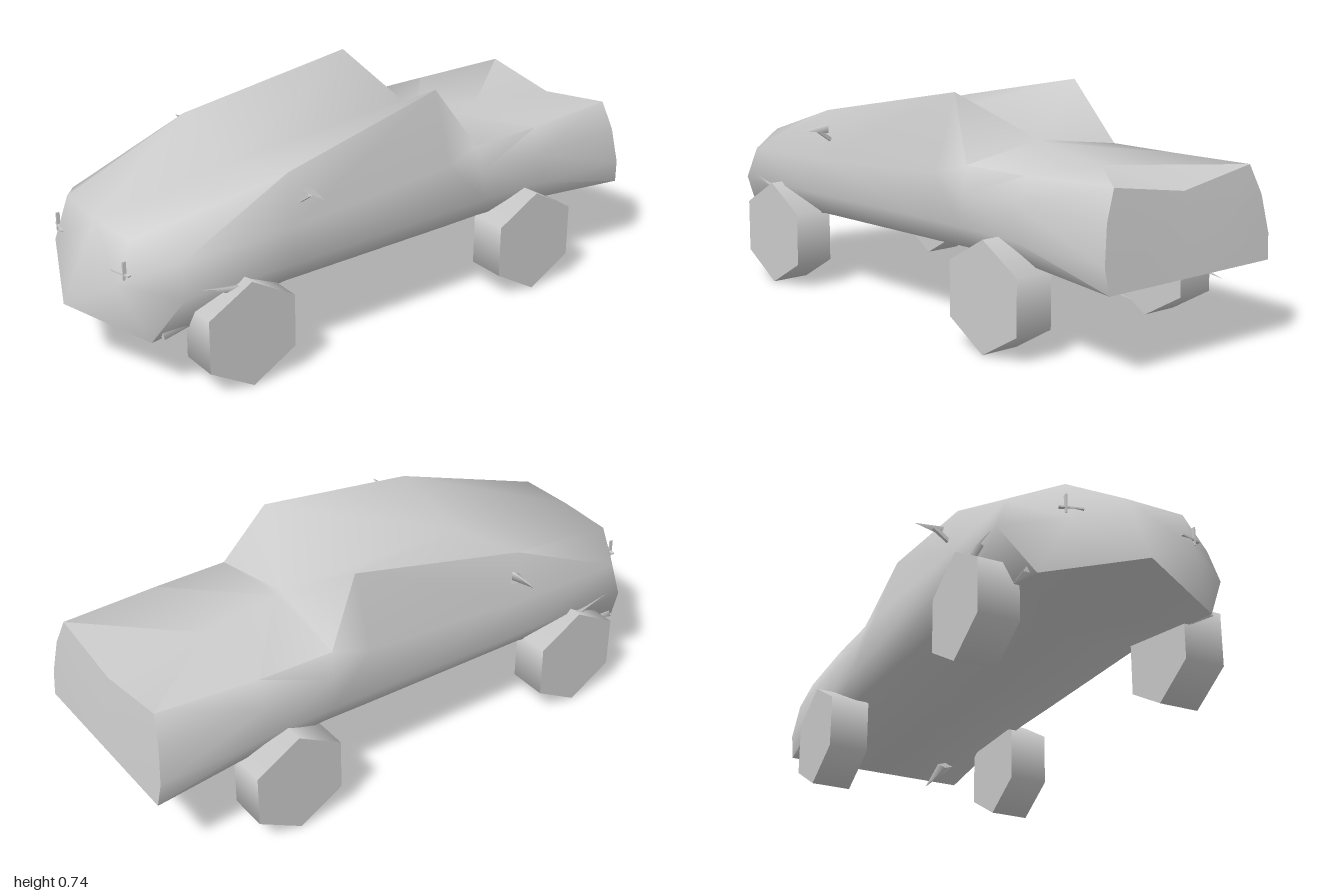
import * as THREE from 'three';
import { toCreasedNormals } from 'three/addons/utils/BufferGeometryUtils.js';

const grey = new THREE.MeshStandardMaterial({ color: 0xcccccc, side: THREE.DoubleSide });

// Half cross-sections, front to back: keel, sill, widest side, shoulder, top ridge, top centre
const sections = [
  [[0, .23, 1], [.29, .18, .86], [.38, .34, .79], [.345, .44, .78], [.2, .485, .87], [0, .483, .88]],
  [[0, .25, .4], [.31, .26, .4], [.368, .34, .4], [.345, .45, .4], [.31, .62, .38], [0, .55, .38]],
  [[0, .247, -.23], [.31, .275, -.23], [.355, .35, -.23], [.335, .5, -.23], [.255, .74, -.23], [0, .577, -.335]],
  [[0, .25, -.38], [.31, .28, -.38], [.352, .35, -.38], [.34, .45, -.37], [.315, .535, -.36], [0, .573, -.36]],
  [[0, .255, -.62], [.315, .28, -.62], [.35, .35, -.62], [.34, .45, -.62], [.31, .54, -.62], [0, .535, -.62]],
  [[0, .26, -1], [.335, .26, -1], [.345, .34, -.99], [.325, .46, -.975], [.285, .553, -.96], [0, .508, -.96]],
];

// Lofts one half of the shell, closes both ends, then mirrors it
function shellGeometry() {
  const out = [];
  const tri = (a, b, c) => {
    out.push(...a, ...b, ...c);
    const m = ([x, y, z]) => [-x, y, z];
    out.push(...m(a), ...m(c), ...m(b));
  };
  for (let i = 0; i < sections.length - 1; i++) {
    const f = sections[i], r = sections[i + 1];
    for (let j = 0; j < f.length - 1; j++) {
      // The shoulder band folds along the other diagonal so it stays convex
      const shoulder = j === 3;
      tri(f[j], r[j], shoulder ? r[j + 1] : f[j + 1]);
      tri(shoulder ? f[j] : r[j], r[j + 1], f[j + 1]);
    }
  }
  const nose = [.2, .35, .92], tail = [.15, .39, -.985];
  const first = sections[0], last = sections[sections.length - 1], n = first.length;
  for (let j = 0; j < n; j++) {
    const k = (j + 1) % n;
    tri(nose, first[j], first[k]);
    tri(tail, last[k], last[j]);
  }
  const g = new THREE.BufferGeometry();
  g.setAttribute('position', new THREE.Float32BufferAttribute(out, 3));
  return toCreasedNormals(g, 1.3);
}

export function createModel() {
  const model = new THREE.Group();
  const add = (name, geometry, x = 0, y = 0, z = 0) => {
    const mesh = new THREE.Mesh(geometry, grey);
    mesh.name = name;
    mesh.position.set(x, y, z);
    model.add(mesh);
  };

  add('body', shellGeometry());

  for (const s of [1, -1]) {
    const side = s > 0 ? 'left' : 'right';

    // Six-sided wheels standing on a corner
    for (const [end, z] of [['Front', .58], ['Rear', -.55]]) {
      const wheel = new THREE.CylinderGeometry(.176, .176, .134, 6, 1, false, Math.PI / 6);
      wheel.rotateZ(Math.PI / 2);
      add(side + end + 'Wheel', wheel, s * .345, .176, z);
    }

    // Pointed door mirror on a short arm
    const mirror = new THREE.ConeGeometry(.018, .095, 3);
    mirror.rotateZ(-s * Math.PI / 2);
    add(side + 'Mirror', mirror, s * .392, .566, .338);
    const arm = new THREE.BoxGeometry(.062, .012, .012);
    arm.rotateZ(s * .62);
    add(side + 'MirrorArm', arm, s * .35, .543, .345);

    // Narrow crossed headlamp slits
    const slit = new THREE.BoxGeometry(.075, .005, .012);
    slit.rotateY(s * .25);
    add(side + 'HeadlampSlit', slit, s * .2, .388, .902);
    add(side + 'HeadlampPost', new THREE.BoxGeometry(.005, .06, .012), s * .216, .4, .899);

    // Small wheel arch flare and lower front lip
    const flare = new THREE.ConeGeometry(.022, .2, 3);
    flare.rotateX(Math.PI / 2 - .2);
    add(side + 'ArchFlare', flare, s * .37, .34, .68);
    const lip = new THREE.ConeGeometry(.02, .1, 3);
    lip.rotateX(-Math.PI / 2);
    add(side + 'FrontLip', lip, s * .3, .203, .78);

    // Flat exhaust blade under the tail
    const exhaust = new THREE.ConeGeometry(.03, .18, 4);
    exhaust.scale(1, 1, .35);
    exhaust.rotateX(-Math.PI / 2 - .15);
    add(side + 'Exhaust', exhaust, s * .19, .228, -.86);
  }
  return model;
}
